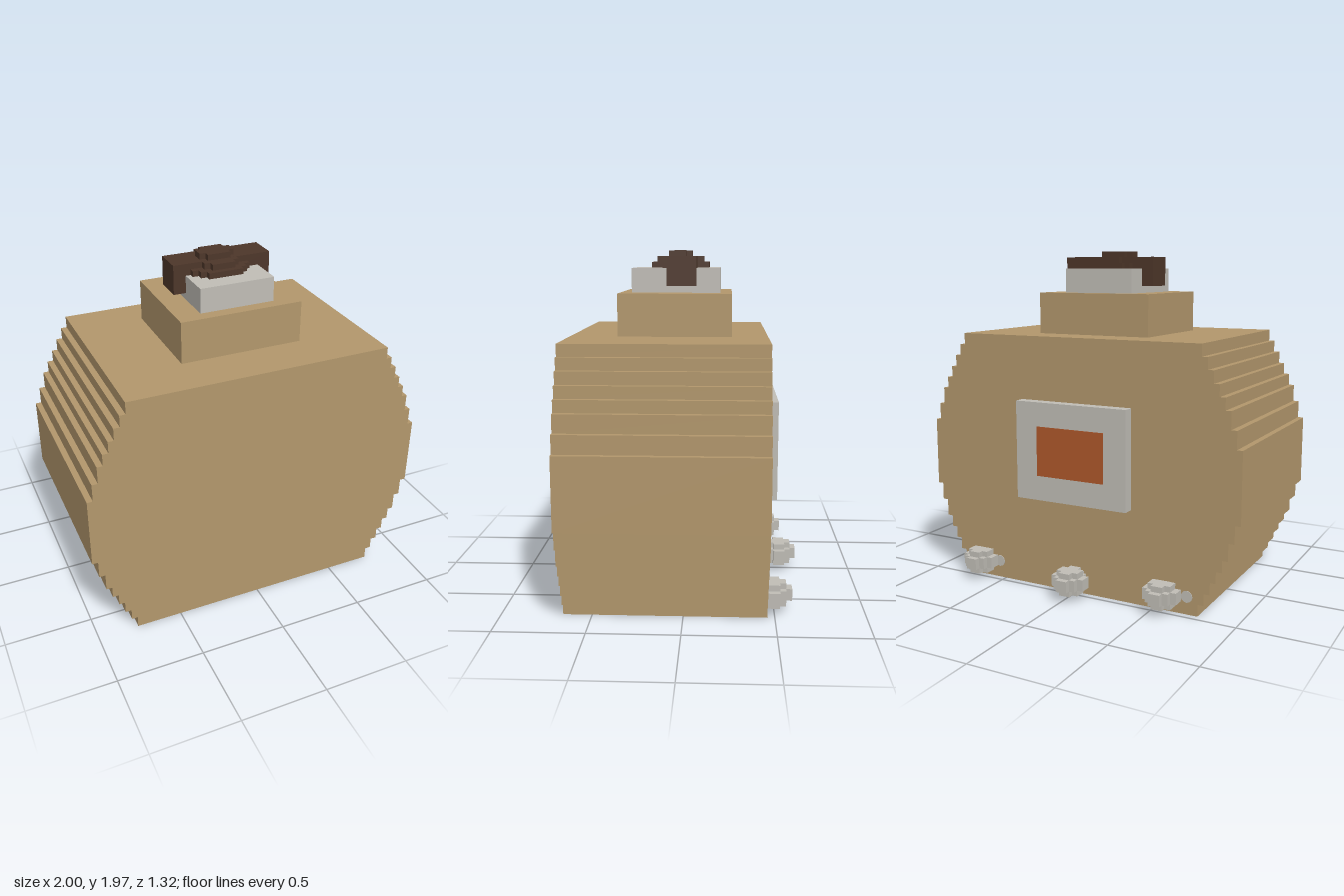
import * as THREE from 'three';

const mat = (name, color) => {
  const m = new THREE.MeshStandardMaterial({ color });
  m.name = name;
  return m;
};

// Extrudes a symmetric staircase outline; steps are [halfWidth, halfHeight], widest first
function steppedPrism(steps, depth) {
  const q = [];
  steps.forEach(([w, h], i) => {
    if (i > 0) q.push([w, steps[i - 1][1]]);
    q.push([w, h]);
  });
  const r = [...q].reverse();
  const pts = [
    ...q,
    ...r.map(([x, y]) => [-x, y]),
    ...q.map(([x, y]) => [-x, -y]),
    ...r.map(([x, y]) => [x, -y]),
  ].map(([x, y]) => new THREE.Vector2(x, y));
  return new THREE.ExtrudeGeometry(new THREE.Shape(pts), { depth, bevelEnabled: false });
}

export function createModel() {
  const root = new THREE.Group();
  const tan = mat('tan', 0xb2976c);
  const grey = mat('lightGrey', 0xc0bdb6);
  const brown = mat('darkBrown', 0x4d3629);
  const rust = mat('rust', 0xae582b);

  const add = (name, geo, material, parent = root) => {
    const m = new THREE.Mesh(geo, material);
    m.name = name;
    parent.add(m);
    return m;
  };
  // Box given by its minimum and maximum on each axis
  const box = (name, material, [x0, x1], [y0, y1], [z0, z1]) =>
    add(name, new THREE.BoxGeometry(x1 - x0, y1 - y0, z1 - z0), material)
      .position.set((x0 + x1) / 2, (y0 + y1) / 2, (z0 + z1) / 2);
  // Horizontal stepped slab between two heights
  const slab = (name, material, steps, y0, y1, x, z, parent) => {
    const geo = steppedPrism(steps, y1 - y0).rotateX(-Math.PI / 2);
    add(name, geo, material, parent).position.set(x, y0, z);
  };

  // Rounded body with stepped sides
  add('body', steppedPrism([
    [1, 0.203], [0.967, 0.305], [0.933, 0.405], [0.9, 0.473],
    [0.866, 0.54], [0.833, 0.61], [0.798, 0.677], [0.764, 0.745],
  ], 1.12), tan).position.set(0, 0.745, -0.46);

  // Neck and collar
  box('neck', tan, [-0.356, 0.356], [1.49, 1.73], [-0.255, 0.388]);
  box('collar', grey, [-0.217, 0.217], [1.73, 1.87], [-0.188, 0.32]);

  // Stopper: crossbar and domed button
  box('crossbar', brown, [-0.288, 0.288], [1.77, 1.937], [-0.053, 0.115]);
  const dome = [
    [[[0.17, 0.1], [0.136, 0.136], [0.102, 0.168]], 1.87, 1.903],
    [[[0.136, 0.068], [0.102, 0.102], [0.068, 0.136]], 1.903, 1.9365],
    [[[0.102, 0.034], [0.068, 0.068]], 1.93, 1.97],
  ];
  dome.forEach(([steps, y0, y1], i) => slab(`domeLayer${i + 1}`, brown, steps, y0, y1, -0.018, 0.047));

  // Back panel with inset window
  box('backPanel', grey, [-0.356, 0.356], [0.545, 1.12], [-0.526, -0.455]);
  box('panelWindow', rust, [-0.217, 0.217], [0.69, 0.98], [-0.529, -0.522]);

  // Stepped knobs along the lower back: a wide belt around a narrower core
  for (const [x, z] of [[0.658, -0.496], [-0.018, -0.562], [-0.564, -0.496]]) {
    const knob = new THREE.Group();
    knob.name = 'knob';
    knob.position.set(x, 0, z);
    root.add(knob);
    slab('knobCore', grey, [[0.068, 0.034], [0.034, 0.068]], 0.036, 0.17, 0, 0, knob);
    slab('knobBelt', grey, [[0.102, 0.034], [0.068, 0.068], [0.034, 0.102]], 0.07, 0.137, 0, 0, knob);
  }

  // Small flush studs beside the outer knobs
  for (const x of [0.54, -0.7]) {
    const stud = new THREE.CylinderGeometry(0.034, 0.034, 0.006, 12).rotateX(Math.PI / 2);
    add('stud', stud, grey).position.set(x, 0.103, -0.461);
  }
  return root;
}
